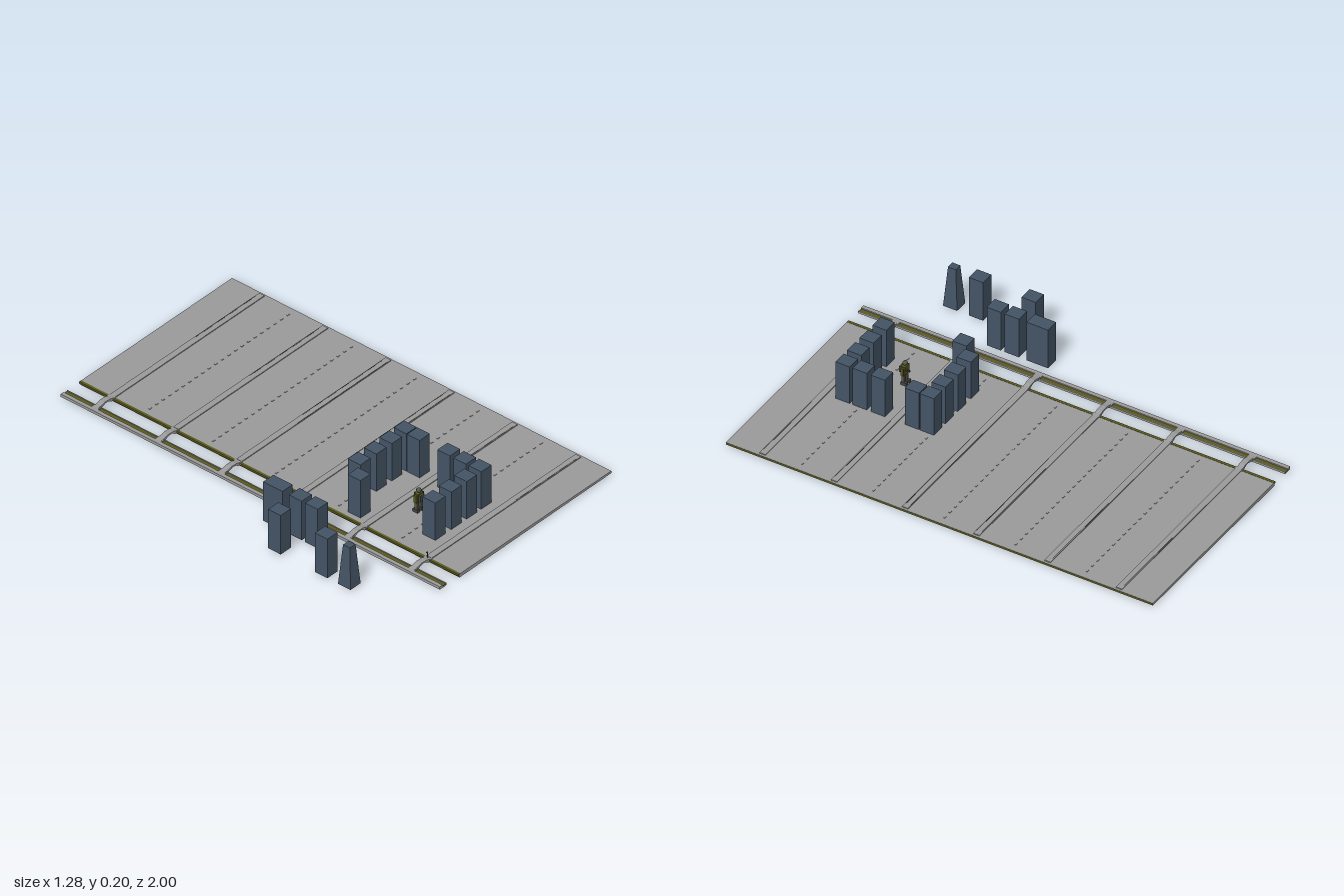
import * as THREE from 'three';

const material = (name, color) => {
  const m = new THREE.MeshStandardMaterial({ color });
  m.name = name;
  return m;
};

export function createModel() {
  const grey = material('deck grey', 0x999a99);
  const blue = material('slate blue', 0x445465);
  const olive = material('olive trim', 0x5a5a1e);
  const dark = material('dark seam', 0x454843);
  const skin = material('figure drab', 0x55564a);
  const model = new THREE.Group();

  const add = (name, geometry, mat, parent = model) => {
    const mesh = new THREE.Mesh(geometry, mat);
    mesh.name = name;
    parent.add(mesh);
    return mesh;
  };
  // Box given by its lower and upper corners
  const block = (name, x0, x1, y0, y1, z0, z1, mat, parent) => {
    const mesh = add(name, new THREE.BoxGeometry(x1 - x0, y1 - y0, z1 - z0), mat, parent);
    mesh.position.set((x0 + x1) / 2, (y0 + y1) / 2, (z0 + z1) / 2);
    return mesh;
  };
  // Side profile in x and y, extruded along z about a centre
  const profile = (name, points, depth, z, mat) => {
    const shape = new THREE.Shape(points.map(([x, y]) => new THREE.Vector2(x, y)));
    const geometry = new THREE.ExtrudeGeometry(shape, { depth, bevelEnabled: false });
    add(name, geometry.translate(0, 0, z - depth / 2), mat);
  };

  // Deck with a slightly tapering underside
  profile('deck', [[-0.285, 0.001], [-0.25, 0.001], [0.075, 0.004], [0.4, 0.006],
    [0.64, 0.007], [0.64, 0.018], [-0.285, 0.018]], 2, 0, grey);
  block('innerTrim', -0.292, -0.28, 0.01, 0.019, -1, 1, olive);
  block('outerTrim', 0.639, 0.641, 0.009, 0.017, -1, 1, olive);

  // Side rail: two grey lips with an olive channel
  block('railBase', -0.405, -0.365, 0.007, 0.012, -1, 1, grey);
  block('railOuterLip', -0.405, -0.387, 0.012, 0.02, -1, 1, grey);
  block('railChannel', -0.387, -0.367, 0.012, 0.015, -1, 1, olive);
  block('railInnerLip', -0.367, -0.364, 0.012, 0.018, -1, 1, grey);

  // Arched links and the ribs that continue them across the deck
  const arch = [[-0.388, 0.012], [-0.36, 0.012], [-0.347, 0.018], [-0.335, 0.022],
    [-0.32, 0.022], [-0.308, 0.016], [-0.3, 0.01], [-0.278, 0.01], [-0.278, 0.021],
    [-0.295, 0.023], [-0.31, 0.028], [-0.34, 0.029], [-0.365, 0.023], [-0.388, 0.02]];
  for (const z of [-0.835, -0.5, -0.167, 0.167, 0.5, 0.835]) {
    profile('link', arch, 0.026, z, grey);
    for (const s of [-1, 1]) {
      block('linkFoot', -0.388, -0.367, 0.012, 0.02, z + s * 0.014 - 0.003, z + s * 0.014 + 0.003, grey);
      block('linkHeel', -0.292, -0.278, 0.012, 0.021, z + s * 0.014 - 0.003, z + s * 0.014 + 0.003, grey);
    }
    block('rib', -0.28, 0.63, 0.017, 0.022, z - 0.014, z + 0.014, grey);
  }

  // Rows of studs midway between the ribs
  for (const z of [-0.667, -0.333, 0, 0.333, 0.667])
    for (let i = 0; i < 22; i++) {
      const x = -0.25 + i * 0.04;
      block('stud', x, x + 0.014, 0.017, 0.0205, z - 0.003, z + 0.003, grey);
    }

  // Seams on the outer half of the deck
  for (const [x, z] of [[0.06, 0.155], [0.12, 0.178], [0.18, 0.51], [0.24, 0.845]])
    for (const s of [-1, 1])
      block('seam', x, 0.605, 0.017, 0.0225, s * z - 0.0015, s * z + 0.0015, dark);

  // Thin hooked post on the inner edge
  block('post', -0.29, -0.288, 0.018, 0.052, 0.833, 0.837, dark);
  block('postHook', -0.297, -0.288, 0.05, 0.052, 0.833, 0.837, dark);

  // Upright blocks standing on and beside the deck
  const pillars = [[-0.225, 0.42], [0.135, 0.42], [0.135, 0.58], [0.135, 0.665],
    [-0.484, 0.334], [-0.484, 0.418], [-0.612, 0.334], [-0.612, 0.58]];
  for (const x of [-0.145, -0.047, 0.047, 0.135]) pillars.push([x, 0.35], [x, 0.745]);
  for (const [x, z] of pillars) {
    const base = x < -0.4 ? 0.01 : 0.016;
    block('pillar', x - 0.031, x + 0.031, base, 0.202, z - 0.033, z + 0.033, blue);
  }
  block('widePillar', -0.515, -0.453, 0.01, 0.202, 0.164, 0.265, blue);

  // Tapered block: narrow the top of a box
  const taper = block('taperedPillar', -0.643, -0.581, 0.01, 0.202, 0.669, 0.735, blue);
  const p = taper.geometry.attributes.position;
  for (let i = 0; i < p.count; i++)
    if (p.getY(i) > 0) p.setXYZ(i, p.getX(i) * 0.55, p.getY(i), p.getZ(i) * 0.55);
  taper.geometry.computeVertexNormals();

  // Small standing figure inside the ring
  const figure = new THREE.Group();
  figure.name = 'figure';
  figure.position.set(-0.065, 0.018, 0.595);
  model.add(figure);
  for (const s of [-1, 1]) {
    block('boot', s * 0.012 - 0.007, s * 0.012 + 0.007, 0, 0.014, -0.016, 0.01, dark, figure);
    block('leg', s * 0.012 - 0.006, s * 0.012 + 0.006, 0.014, 0.05, -0.006, 0.006, skin, figure);
    block('arm', s * 0.02 - 0.004, s * 0.02 + 0.004, 0.05, 0.085, -0.006, 0.006, olive, figure);
  }
  block('torso', -0.016, 0.016, 0.05, 0.09, -0.01, 0.01, olive, figure);
  block('pack', -0.012, 0.012, 0.055, 0.085, 0.01, 0.02, dark, figure);
  block('tool', 0.004, 0.01, 0.07, 0.076, -0.028, -0.008, dark, figure);
  add('head', new THREE.SphereGeometry(0.011, 10, 8), skin, figure).position.y = 0.101;

  return model;
}
